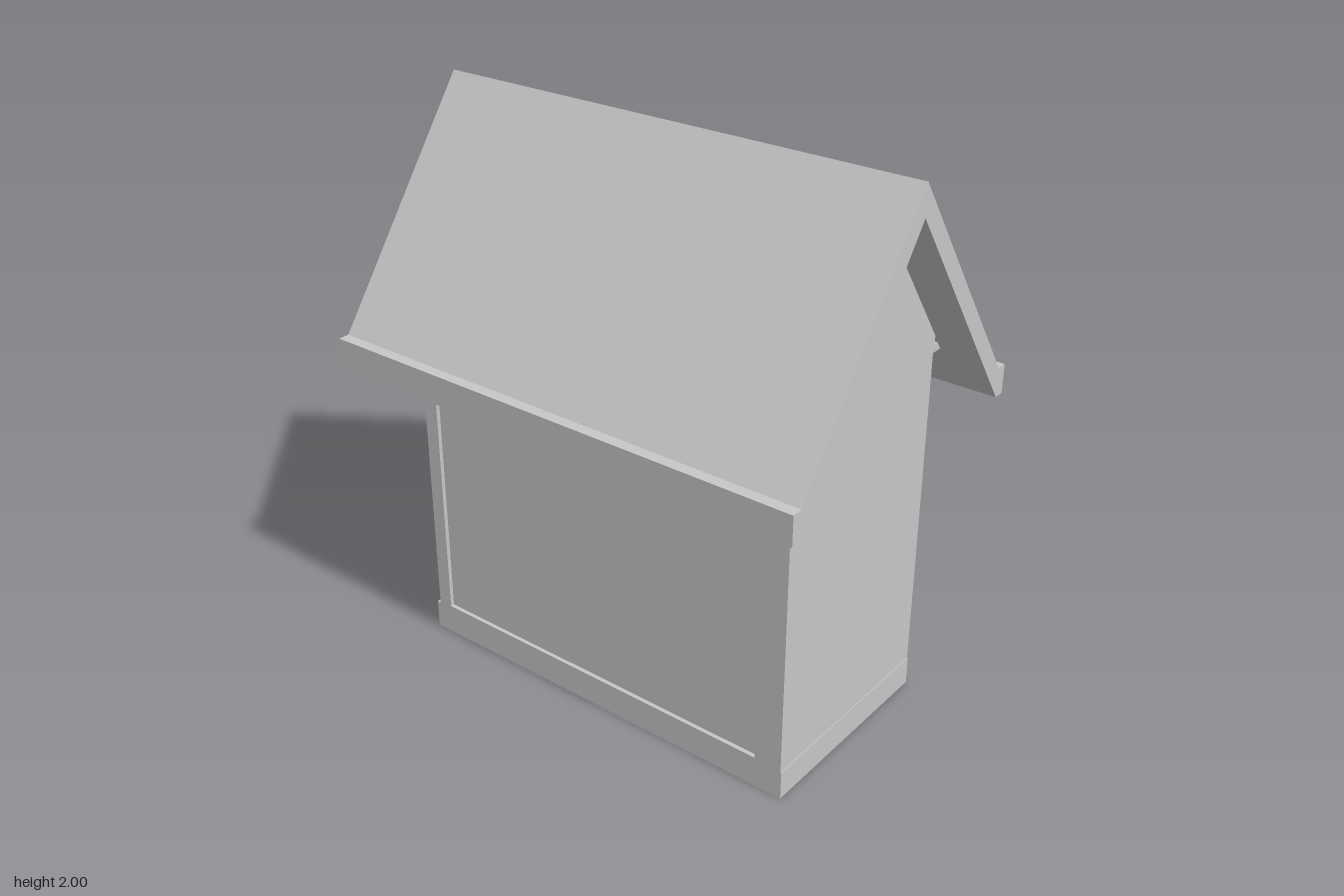
import * as THREE from 'three';

export function createModel() {
  const model = new THREE.Group();
  const grey = new THREE.MeshStandardMaterial({ color: 0xc8c8c8 });
  grey.name = 'light grey';

  const add = (name, geometry) => {
    const mesh = new THREE.Mesh(geometry, grey);
    mesh.name = name;
    model.add(mesh);
    return mesh;
  };
  const box = (name, x0, x1, y0, y1, z0, z1) =>
    add(name, new THREE.BoxGeometry(x1 - x0, y1 - y0, z1 - z0)
      .translate((x0 + x1) / 2, (y0 + y1) / 2, (z0 + z1) / 2));

  // Extrudes a [z, y] outline, symmetric in z, from x0 to x1
  const path = (points, Type) => new Type(points.map(([z, y]) => new THREE.Vector2(z, y)));
  const rect = (w, y0, y1) => [[-w, y0], [w, y0], [w, y1], [-w, y1]];
  const extrude = (name, outline, x0, x1, hole) => {
    const shape = path(outline, THREE.Shape);
    if (hole) shape.holes.push(path(hole, THREE.Path));
    const geometry = new THREE.ExtrudeGeometry(shape, { depth: x1 - x0, bevelEnabled: false });
    return add(name, geometry.rotateY(Math.PI / 2).translate(x0, 0, 0));
  };
  const mirrored = (half) => [...half, ...half.slice().reverse()
    .filter(([z]) => z !== 0).map(([z, y]) => [-z, y])];

  // Plinth and wall core
  box('plinth', -0.775, 0.775, 0, 0.105, -0.39, 0.39);
  box('wallCore', -0.73, 0.772, 0.1, 1.31, -0.375, 0.375);

  // End wall with the doorway cut through
  extrude('doorWall', rect(0.39, 0.1, 1.31), -0.76, -0.73, rect(0.152, 0.125, 0.74));
  extrude('doorFrame', rect(0.167, 0.11, 0.755), -0.765, -0.758, rect(0.152, 0.125, 0.74));
  box('door', -0.74, -0.73, 0.125, 0.74, -0.14, 0.14);

  // Door knob and its neck
  add('knobNeck', new THREE.CylinderGeometry(0.008, 0.008, 0.04, 16)
    .rotateZ(Math.PI / 2).translate(-0.755, 0.43, 0.09));
  add('knob', new THREE.SphereGeometry(0.02, 20, 14).scale(0.8, 1, 1).translate(-0.772, 0.43, 0.09));

  // Side framing around the recessed panels, and the plates under the eaves
  for (const s of [-1, 1]) {
    const z0 = s < 0 ? -0.39 : 0.37, z1 = s < 0 ? -0.37 : 0.39;
    box('doorEndPost', -0.73, -0.705, 0.1, 1.31, z0, z1);
    box('plainEndPost', 0.67, 0.772, 0.1, 1.31, z0, z1);
    box('topRail', -0.71, 0.68, 1.25, 1.31, z0, z1);
    box('bottomRail', -0.71, 0.68, 0.1, 0.112, z0, z1);
    box('eavePlate', -0.755, 0.772, 1.29, 1.32, s < 0 ? -0.437 : 0.37, s < 0 ? -0.37 : 0.437);
  }

  // Gable block filling the space under the roof
  extrude('gable', mirrored([[0.39, 1.3], [0.39, 1.352], [0, 1.893]]), -0.755, 0.775);

  // Pitched roof with upright eave boards
  extrude('roof', mirrored([[0, 1.893], [0.565, 1.11], [0.605, 1.11], [0.605, 1.215],
    [0.565, 1.215], [0, 2]].slice(1, 5)).length ? roofOutline() : [], -0.92, 0.92);

  return model;
}

// Closed cross-section of the roof, as [z, y] points
function roofOutline() {
  const eave = [[0.565, 1.11], [0.605, 1.11], [0.605, 1.215], [0.565, 1.215]];
  const other = eave.slice().reverse().map(([z, y]) => [-z, y]);
  return [[0, 1.893], ...eave, [0, 2], ...other];
}
